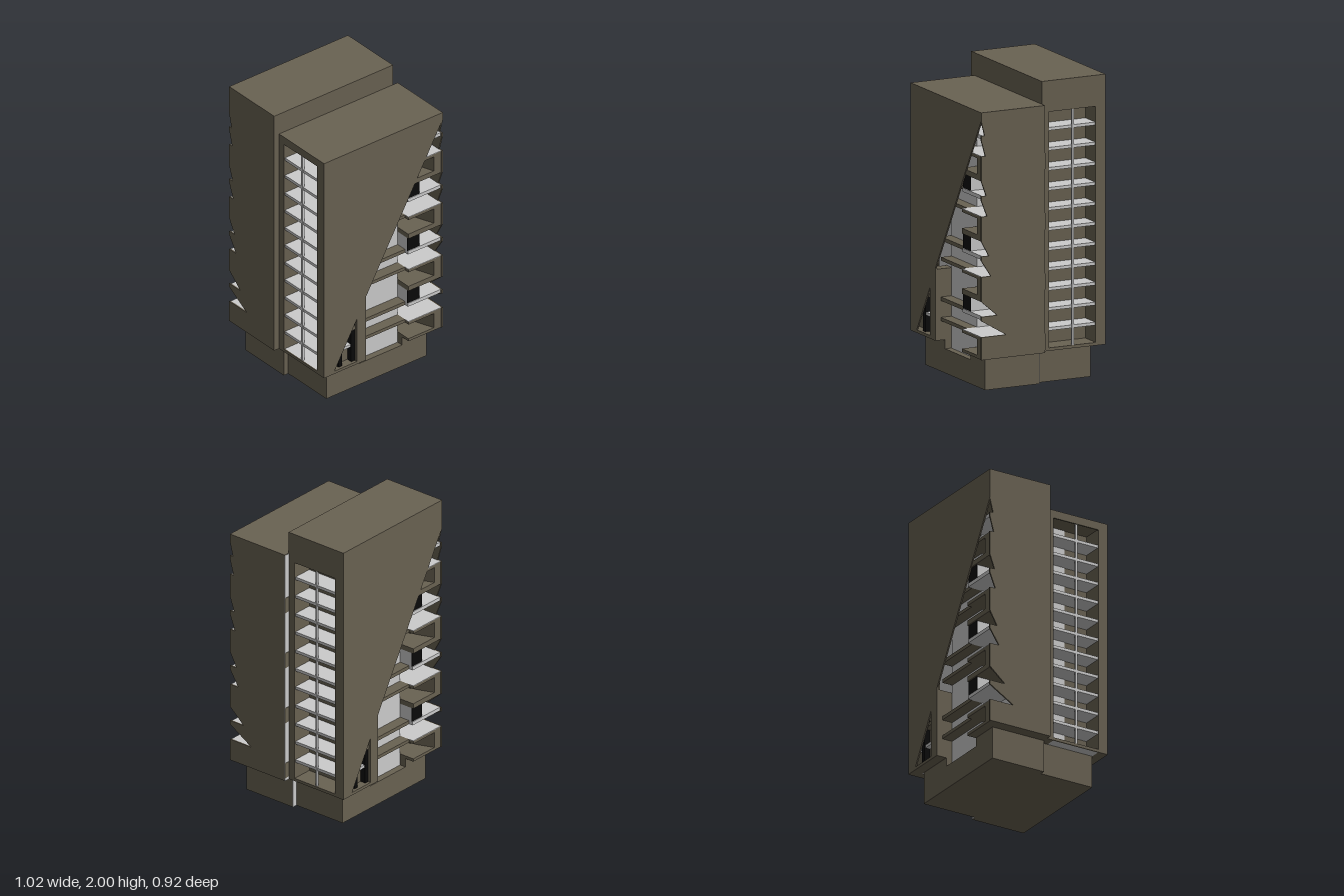
import * as THREE from 'three';

const mat = (name, color) => {
  const m = new THREE.MeshStandardMaterial({ color });
  m.name = name;
  return m;
};

export function createModel() {
  const olive = mat('olive concrete', 0x696252);
  const light = mat('light plaster', 0xcccccc);
  const black = mat('black glazing', 0x0a0a0a);

  // box from min/max corners
  function box(g, name, m, x0, x1, y0, y1, z0, z1) {
    const mesh = new THREE.Mesh(new THREE.BoxGeometry(x1 - x0, y1 - y0, z1 - z0), m);
    mesh.position.set((x0 + x1) / 2, (y0 + y1) / 2, (z0 + z1) / 2);
    mesh.name = name;
    g.add(mesh);
    return mesh;
  }
  const shapeOf = (pts) => new THREE.Shape(pts.map((p) => new THREE.Vector2(p[0], p[1])));
  const pathOf = (pts) => new THREE.Path(pts.map((p) => new THREE.Vector2(p[0], p[1])));

  function extrude(g, name, m, shape, depth) {
    const mesh = new THREE.Mesh(new THREE.ExtrudeGeometry(shape, { depth, bevelEnabled: false }), m);
    mesh.name = name;
    g.add(mesh);
    return mesh;
  }
  // side wall drawn in (z, y), spanning x0 .. x0 + depth
  function sideWall(g, name, shape, x0, depth) {
    const mesh = extrude(g, name, olive, shape, depth);
    mesh.geometry.rotateY(-Math.PI / 2); // shape x -> +z, depth -> -x
    mesh.position.x = x0 + depth;
  }

  const floors = [0, 1, 2, 3].map((i) => 0.24 + 0.397 * i);
  const notchDepth = [[0.18, 0.115], [0.07, 0.055], [0.042, 0.036], [0.03, 0.025]];

  // one slab-shaped half of the tower, facing +z
  function half(name, top, isFront) {
    const g = new THREE.Group();
    g.name = name;

    // plinth with a shallow notch under the recessed facade
    box(g, 'plinth', olive, -0.395, 0.43, 0, 0.16, 0, 0.39);
    box(g, 'plinthCore', olive, -0.395, 0.43, 0.16, 0.22, 0, 0.34);
    box(g, 'plinthLeft', olive, -0.395, -0.125, 0.16, 0.22, 0.34, 0.39);
    box(g, 'plinthRight', olive, 0.23, 0.43, 0.16, 0.22, 0.34, 0.39);

    // bottom slab, roof and inner core
    box(g, 'bottomSlab', olive, -0.47, 0.51, 0.22, 0.24, 0, 0.34);
    box(g, 'bottomSlabLeft', olive, -0.47, -0.125, 0.22, 0.24, 0.34, 0.45);
    box(g, 'roof', olive, -0.47, 0.51, 1.8, top, 0, 0.46);
    box(g, 'core', light, -0.32, 0.23, 0.24, 1.8, 0.01, 0.34);
    box(g, 'coreRight', light, 0.23, 0.5, 0.24, 1.8, 0.01, 0.25);
    box(g, 'facadeWall', light, -0.125, 0.23, 0.16, 1.8, 0.34, 0.345);
    box(g, 'rearWall', olive, -0.47, 0.5, 0.24, 1.8, 0, 0.01);

    // front screen: diagonal cut edge and small triangular opening
    const screen = shapeOf([[-0.47, 0.22], [-0.125, 0.22], [-0.125, 0.7], [0.51, 1.8], [-0.47, 1.8]]);
    screen.holes.push(pathOf([[-0.385, 0.24], [-0.2, 0.56], [-0.2, 0.24]]));
    extrude(g, 'frontScreen', olive, screen, 0.01).position.z = 0.45;
    box(g, 'screenFin', olive, -0.2, -0.125, 0.22, 0.69, 0.34, 0.45);

    // recess behind the triangular opening
    box(g, 'cornerWall', olive, -0.47, -0.2, 0.24, 1.8, 0.39, 0.4);
    for (const x of [-0.335, -0.23])
      box(g, 'blackPost', black, x, x + 0.03, 0.24, 0.56, 0.4, 0.44);
    box(g, 'lightRail', light, -0.38, -0.2, 0.35, 0.37, 0.4, 0.435);
    box(g, 'oliveRail', olive, -0.3, -0.2, 0.48, 0.505, 0.4, 0.445);

    // notched side wall
    const edge = [[0, 0.22], [0.46, 0.22]];
    floors.forEach((p, i) => {
      const a = p + 0.13, b = p + 0.265, [da, db] = notchDepth[i];
      edge.push([0.46, a], [0.46 - da, a], [0.46, a + 0.108]);
      edge.push([0.46, b], [0.46 - db, b], [0.46, b + 0.1]);
    });
    edge.push([0.46, 1.8], [0, 1.8]);
    sideWall(g, 'notchedSideWall', shapeOf(edge), 0.5, 0.01);

    // balconies and facade bands on each double storey
    floors.forEach((p, i) => {
      const low = p - (i ? 0.035 : 0.02);
      box(g, 'lowerSlab', olive, 0.23, 0.5, low, p, 0.25, 0.455);
      box(g, 'upperSlab', olive, 0.23, 0.5, p + 0.107, p + 0.126, 0.25, 0.455);
      box(g, 'balconyFloor', light, 0.23, 0.5, p + 0.126, p + 0.13, 0.25, 0.455);
      box(g, 'thinSlab', light, 0.23, 0.5, p + 0.24, p + 0.265, 0.25, 0.45);
      box(g, 'facadeBand', olive, -0.125, 0.23, p + 0.107, p + 0.13, 0.345, 0.42);
      box(g, 'facadeBand', olive, -0.125, 0.23, p + 0.24, p + 0.265, 0.345, 0.42);
      // slanted cheek closing the parapet slot
      const cheek = extrude(g, 'slotCheek', olive,
        shapeOf([[0.365, -0.25], [0.44, -0.455], [0.5, -0.455], [0.5, -0.25]]), 0.107);
      cheek.rotation.x = -Math.PI / 2;
      cheek.position.y = p;
      // boxed bay with dark glass front
      if (i < 3) {
        const top2 = p + 0.362;
        box(g, 'bay', light, 0.23, 0.33, p + 0.265, top2, 0.25, 0.44);
        box(g, 'bayGlass', black, 0.23, 0.33, p + 0.265, top2, 0.44, 0.445);
      }
      if (isFront) box(g, 'rearSlot', olive, 0.47, 0.51, p, p + 0.107, -0.004, -0.002);
    });

    // open side with stacked shelves
    const side = shapeOf([[0, 0.22], [0.46, 0.22], [0.46, 1.8], [0, 1.8]]);
    side.holes.push(pathOf([[0.05, 0.235], [0.05, 1.795], [0.39, 1.795], [0.39, 0.235]]));
    sideWall(g, 'openSideWall', side, -0.47, 0.01);
    box(g, 'openingJamb', olive, -0.46, -0.32, 0.24, 1.8, 0.01, 0.05);
    box(g, 'openingBack', olive, -0.325, -0.32, 0.24, 1.8, 0.05, 0.39);
    if (isFront) box(g, 'openingLightBack', light, -0.33, -0.325, 0.24, 1.8, 0.05, 0.22);
    box(g, 'mullion', light, -0.465, -0.45, 0.24, 1.795, 0.22, 0.235);
    for (let i = 0; i < 12; i++) {
      const y = 0.22 + i * 0.1318;
      box(g, 'shelf', light, -0.462, -0.325, y, y + 0.02, 0.05, 0.39);
    }

    // light rear strip where this half steps past the other
    if (isFront) {
      box(g, 'rearStrip', light, 0.47, 0.51, 0.22, 1.845, -0.002, 0);
      box(g, 'plinthRearStrip', light, 0.395, 0.43, 0, 0.22, -0.002, 0);
    }
    return g;
  }

  const model = new THREE.Group();
  model.name = 'tower';
  model.add(half('frontHalf', 1.85, true));
  const back = half('backHalf', 2, false);
  back.rotation.y = Math.PI;
  model.add(back);
  return model;
}
